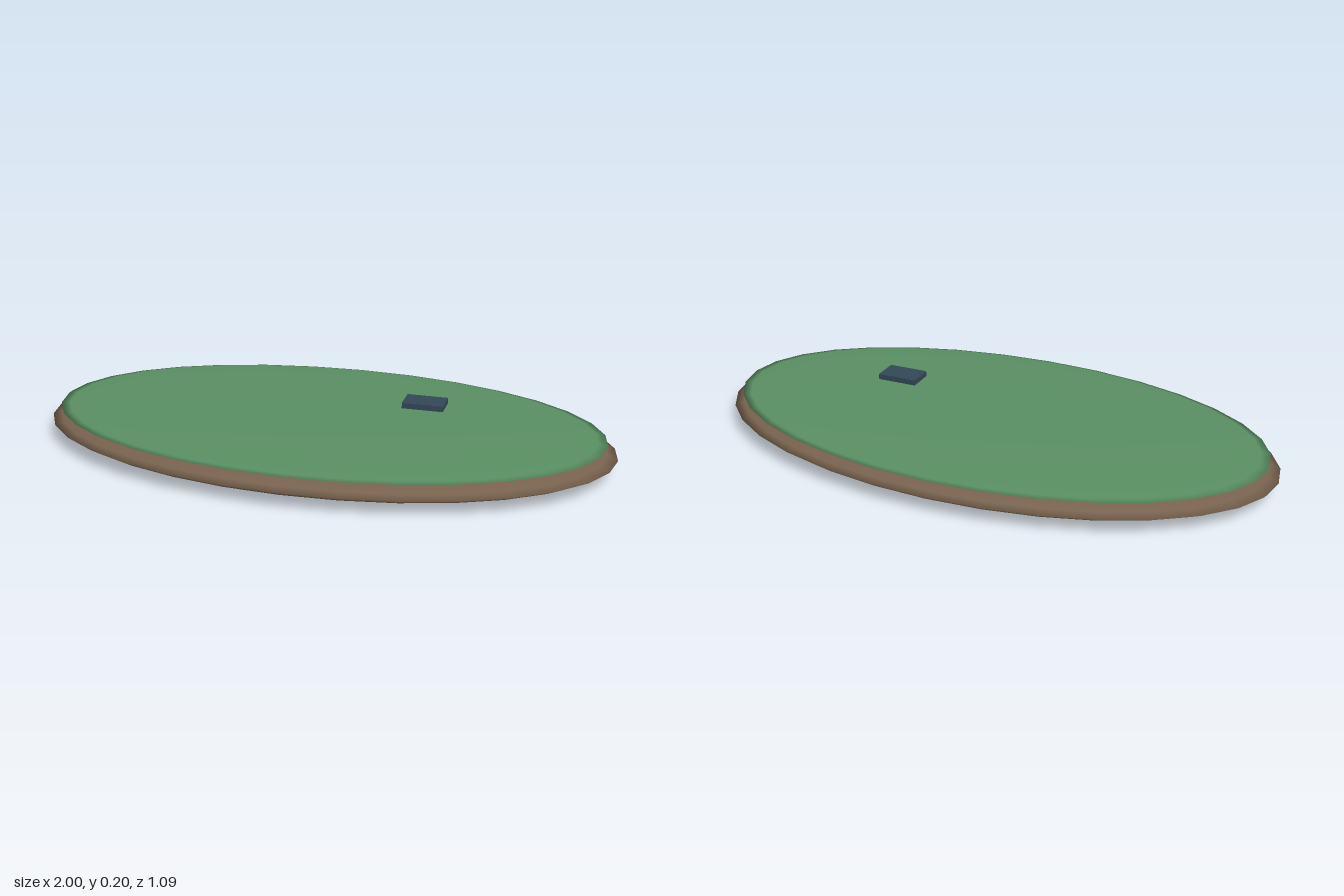
import * as THREE from 'three';

const earth = new THREE.MeshStandardMaterial({ name: 'earthBrown', color: 0x78624e });
const grass = new THREE.MeshStandardMaterial({ name: 'grassGreen', color: 0x5a8f63 });
const slate = new THREE.MeshStandardMaterial({ name: 'slateBlue', color: 0x334756 });

// Smooth flattened ellipsoid with its widest ring at height y
function disc(name, material, rx, ry, rz, y) {
  const geometry = new THREE.SphereGeometry(1, 32, 12);
  geometry.scale(rx, ry, rz);
  const mesh = new THREE.Mesh(geometry, material);
  mesh.name = name;
  mesh.position.y = y;
  return mesh;
}

export function createModel() {
  const model = new THREE.Group();
  model.name = 'island';

  // Ground body and the thinner grass layer resting on it
  model.add(disc('earthBase', earth, 1, 0.058, 0.545, 0.058));
  model.add(disc('grassTop', grass, 0.965, 0.018, 0.525, 0.104));

  // Small slab floating above the grass
  const slab = new THREE.Mesh(new THREE.BoxGeometry(0.14, 0.019, 0.09), slate);
  slab.name = 'floatingSlab';
  slab.position.set(0.35, 0.195, 0);
  model.add(slab);

  return model;
}
